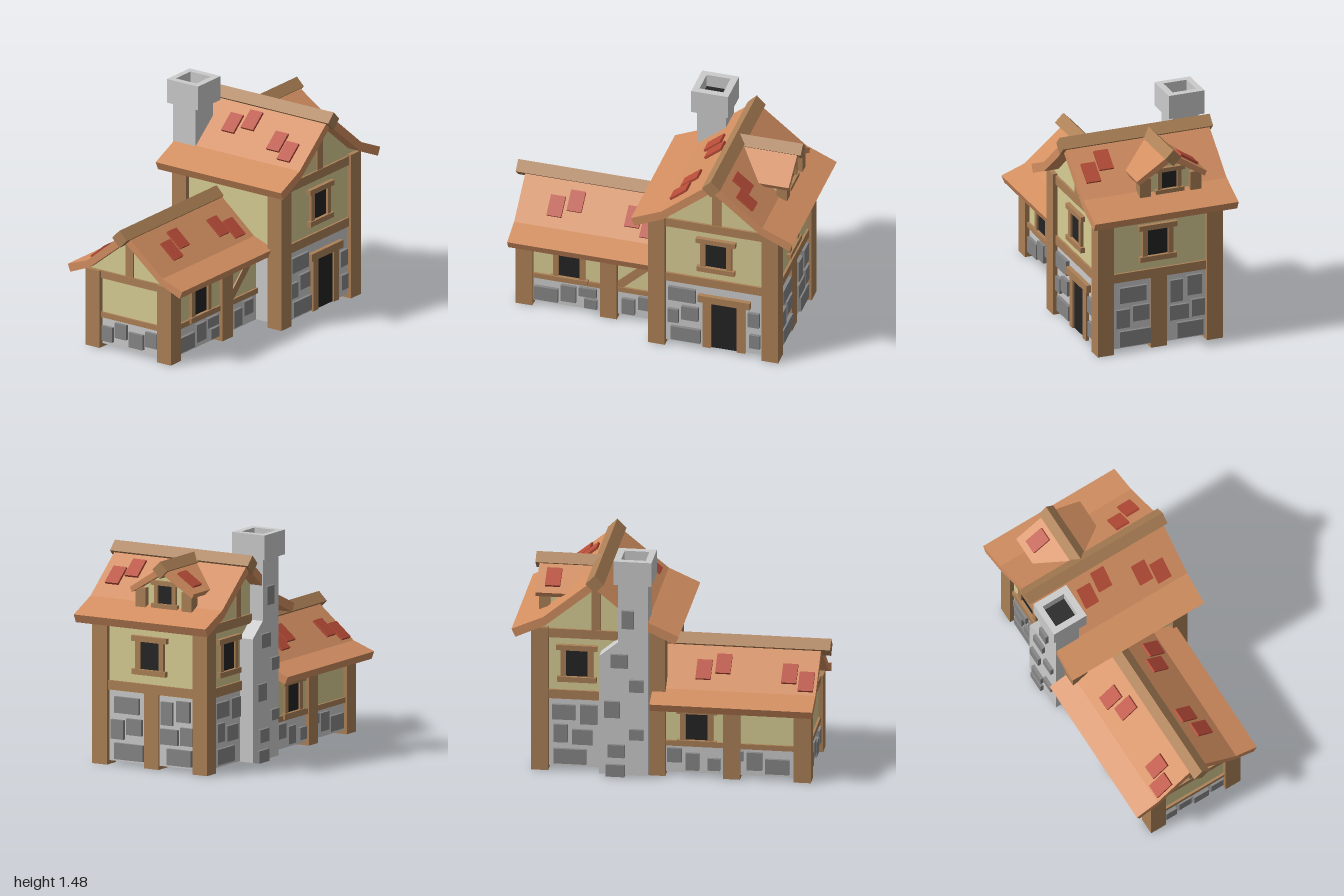
import * as THREE from 'three';

const mat = (color, side = THREE.FrontSide) => new THREE.MeshStandardMaterial({ color, side, flatShading: true });
const M = {
  roof: mat(0xd28e60), tile: mat(0xb84c38), rock: mat(0x868686), dark: mat(0x242424),
  wood: mat(0xac8056, THREE.DoubleSide), plaster: mat(0xd8cd94, THREE.DoubleSide), stone: mat(0xcccccc, THREE.DoubleSide),
};

function add(parent, name, geo, material) {
  const m = new THREE.Mesh(geo, material);
  m.name = name;
  parent.add(m);
  return m;
}

// Box given by its limits on each axis
function box(parent, name, material, x0, x1, y0, y1, z0, z1) {
  const m = add(parent, name, new THREE.BoxGeometry(x1 - x0, y1 - y0, z1 - z0), material);
  m.position.set((x0 + x1) / 2, (y0 + y1) / 2, (z0 + z1) / 2);
  return m;
}

// Leave one side of a box open (3 = bottom, 5 = back)
function openSide({ geometry }, side) {
  geometry.setIndex([...geometry.index.array].filter((_, i) => Math.floor(i / 6) !== side));
}
const post = (parent, name, x, z, top) =>
  openSide(box(parent, name, M.wood, x, x + 0.11, 0, top, z, z + 0.11), 3);

const shapeOf = (pts) => new THREE.Shape(pts.map(([x, y]) => new THREE.Vector2(x, y)));
const extrude = (shape, depth) => new THREE.ExtrudeGeometry(shape, { depth, bevelEnabled: false });

// Wall frame: local x runs along the wall, local z points outwards
function face(parent, name, x, z, angle) {
  const g = new THREE.Group();
  g.name = name;
  g.position.set(x, 0, z);
  g.rotation.y = angle;
  parent.add(g);
  return g;
}
const panel = (f, name, material, pts) => add(f, name, new THREE.ShapeGeometry(shapeOf(pts)), material);
const rect = (a, b, c, d) => [[a, c], [b, c], [b, d], [a, d]];
const beam = (f, a, b, c, d, out = 0.015) => box(f, 'beam', M.wood, a, b, c, d, -0.03, out);

// Stones set through the wall, open on the inside
const stones = (f, list) => list.forEach(([a, b, c, d]) =>
  openSide(box(f, 'stone', M.rock, a, b, c, d, -0.12, 0.022), 5));

// Window: pane, jambs, lintel and sill; (u, y) is the middle of the sill line
function windowAt(f, u, y, w = 0.14, h = 0.18, j = 0.035) {
  const a = u - w / 2, b = u + w / 2;
  box(f, 'windowPane', M.dark, a, b, y, y + h, -0.01, 0.006);
  box(f, 'windowJamb', M.wood, a - j, a, y, y + h, -0.01, 0.02);
  box(f, 'windowJamb', M.wood, b, b + j, y, y + h, -0.01, 0.02);
  box(f, 'windowLintel', M.wood, a - j * 1.75, b + j * 1.75, y + h, y + h + j, -0.01, 0.029);
  box(f, 'windowSill', M.wood, a - j * 1.6, b + j * 1.6, y - j, y, -0.01, 0.029);
}

// Gabled roof along local z; top and under list one slope from ridge to eave
function roof(parent, name, { top, under, v0, v1, ridge, ridgeY, r0, r1, tiles }) {
  const g = new THREE.Group();
  g.name = name;
  parent.add(g);
  const flip = ([x, y]) => [-x, y];
  const pts = [...top, ...[...under].reverse(), ...under.slice(1).map(flip),
    ...top.slice(1).reverse().map(flip)];
  add(g, 'roofSlopes', extrude(shapeOf(pts.reverse()), v1 - v0), M.roof).position.z = v0;
  const r = box(g, 'ridgeBeam', M.wood, -ridge, ridge, -ridge, ridge, r0, r1);
  r.position.y = ridgeY;
  r.rotation.z = Math.PI / 4;
  const angle = Math.atan2(top[0][1] - top[1][1], top[1][0]);
  for (const [u, v] of tiles) {
    const t = add(g, 'roofTile', new THREE.BoxGeometry(0.14, 0.026, 0.097), M.tile);
    t.position.set(u, top[0][1] - Math.abs(u) * Math.tan(angle) + 0.003, v);
    t.rotation.z = -Math.sign(u) * angle;
  }
  return g;
}

function mainHouse(root) {
  const g = new THREE.Group();
  g.name = 'mainHouse';
  root.add(g);
  for (const x of [0.02, 0.772]) for (const z of [0.34, -0.41]) post(g, 'cornerPost', x, z, 0.97);

  // Gable walls, front and back
  const gable = [[-0.4, 0.48], [0.4, 0.48], [0.4, 0.97], [0.32, 1.01], [0, 1.28], [-0.32, 1.01], [-0.4, 0.97]];
  const front = face(g, 'frontWall', 0, 0.42, 0);
  const back = face(g, 'backWall', 0, -0.38, Math.PI);
  for (const [f, c] of [[front, 0.467], [back, -0.467]]) {
    panel(f, 'stoneWall', M.stone, rect(c - 0.4, c + 0.4, 0.025, 0.48));
    panel(f, 'plasterWall', M.plaster, gable.map(([x, y]) => [x + c, y]));
    beam(f, c - 0.34, c + 0.34, 0.485, 0.545);
    beam(f, c - 0.34, c + 0.34, 0.9, 0.96);
    beam(f, c - 0.03, c + 0.03, 0.96, 1.26, 0.01);
  }
  windowAt(front, 0.465, 0.64);
  windowAt(back, -0.59, 0.64);
  stones(front, [[0.15, 0.33, 0.345, 0.445], [0.237, 0.347, 0.21, 0.31], [0.145, 0.215, 0.175, 0.275],
    [0.165, 0.362, 0.045, 0.145], [0.677, 0.752, 0.235, 0.34], [0.687, 0.757, 0.075, 0.175]]);
  stones(back, [[-0.75, -0.6, 0.345, 0.445], [-0.57, -0.46, 0.32, 0.45], [-0.74, -0.65, 0.19, 0.31],
    [-0.62, -0.49, 0.18, 0.28], [-0.74, -0.53, 0.045, 0.145]]);

  // Door
  box(front, 'door', M.dark, 0.433, 0.603, 0.025, 0.37, -0.01, 0.006);
  for (const x of [0.378, 0.603]) box(front, 'doorJamb', M.wood, x, x + 0.055, 0.025, 0.37, -0.01, 0.02);
  box(front, 'doorLintel', M.wood, 0.348, 0.693, 0.37, 0.42, -0.01, 0.03);

  // Eave walls; local x is -z on the left wall of the model and z on the other
  const left = face(g, 'leftWall', 0.85, 0, Math.PI / 2);
  const right = face(g, 'rightWall', 0.05, 0, -Math.PI / 2);
  for (const [f, c] of [[left, -0.02], [right, 0.02]]) {
    panel(f, 'stoneWall', M.stone, rect(c - 0.4, c + 0.4, 0.025, 0.48));
    panel(f, 'plasterWall', M.plaster, rect(c - 0.4, c + 0.4, 0.48, 0.97));
    beam(f, c - 0.32, c + 0.32, 0.485, 0.545);
    beam(f, c - 0.32, c + 0.32, 0.9, 0.96);
  }
  post(g, 'middlePost', 0.752, -0.035, 0.49);
  windowAt(left, -0.031, 0.64);
  stones(left, [[-0.293, -0.11, 0.34, 0.445], [-0.318, -0.225, 0.17, 0.295], [-0.203, -0.09, 0.205, 0.31],
    [-0.293, -0.08, 0.04, 0.145], [0.055, 0.14, 0.295, 0.445], [0.17, 0.27, 0.325, 0.46],
    [0.05, 0.18, 0.17, 0.27], [0.2, 0.29, 0.175, 0.29], [0.1, 0.28, 0.04, 0.145]]);

  roof(g, 'mainRoof', {
    top: [[0, 1.338], [0.335, 1.063], [0.537, 0.974]], under: [[0, 1.27], [0.32, 1.008], [0.512, 0.92]],
    v0: -0.47, v1: 0.515, ridge: 0.042, ridgeY: 1.31, r0: -0.49, r1: 0.54,
    tiles: [[0.138, 0.297], [0.196, 0.408], [-0.17, -0.13], [-0.13, -0.005], [-0.21, 0.253], [-0.25, 0.365]],
  }).position.x = 0.462;
}

function sideWing(root) {
  const g = new THREE.Group();
  g.name = 'sideWing';
  root.add(g);
  for (const [x, z] of [[-0.915, 0.15], [-0.915, -0.41], [-0.355, 0.15], [-0.46, -0.41]])
    post(g, 'wingPost', x, z, 0.52);

  const front = face(g, 'wingFrontWall', 0, 0.23, 0);
  const back = face(g, 'wingBackWall', 0, -0.385, Math.PI);
  for (const [f, a, b] of [[front, -0.885, 0.05], [back, -0.05, 0.885]]) {
    panel(f, 'stoneWall', M.stone, rect(a, b, 0.025, 0.21));
    panel(f, 'plasterWall', M.plaster, rect(a, b, 0.21, 0.53));
    beam(f, a, b, 0.205, 0.24);
  }
  windowAt(front, -0.565, 0.25);
  windowAt(back, 0.18, 0.25);
  const brace = add(front, 'brace', new THREE.BoxGeometry(0.4, 0.055, 0.03), M.wood);
  brace.position.set(-0.115, 0.365, -0.004);
  brace.rotation.z = Math.atan2(0.25, 0.265);
  const row = [[-0.795, -0.64, 0.045, 0.145], [-0.62, -0.52, 0.065, 0.185], [-0.5, -0.385, 0.125, 0.19],
    [-0.465, -0.38, 0.04, 0.11], [-0.215, -0.13, 0.045, 0.16], [-0.105, -0.01, 0.095, 0.19]];
  stones(front, row);
  stones(back, row.map(([a, b, c, d]) => [-b - 0.02, -a - 0.02, c, d]));
  stones(back, [[0.25, 0.33, 0.05, 0.13]]);

  // Gable end
  const end = face(g, 'wingEndWall', -0.885, 0, -Math.PI / 2);
  panel(end, 'stoneWall', M.stone, rect(-0.385, 0.23, 0.025, 0.21));
  panel(end, 'plasterWall', M.plaster,
    [[-0.385, 0.21], [0.23, 0.21], [0.23, 0.53], [0.195, 0.545], [-0.08, 0.77], [-0.355, 0.545], [-0.385, 0.53]]);
  beam(end, -0.32, 0.15, 0.205, 0.24);
  beam(end, -0.36, 0.19, 0.47, 0.52);
  beam(end, -0.11, -0.05, 0.52, 0.76, 0.01);
  stones(end, [[-0.29, -0.21, 0.05, 0.15], [-0.19, -0.1, 0.09, 0.19], [-0.08, 0.03, 0.05, 0.15], [0.05, 0.14, 0.08, 0.18]]);

  const r = roof(g, 'wingRoof', {
    top: [[0, 0.833], [0.295, 0.585], [0.45, 0.528]], under: [[0, 0.765], [0.28, 0.54], [0.43, 0.478]],
    v0: -0.94, v1: 0.105, ridge: 0.041, ridgeY: 0.807, r0: -1, r1: 0.1,
    tiles: [[-0.185, -0.692], [-0.145, -0.57], [-0.175, -0.18], [-0.217, -0.067],
      [0.225, -0.872], [0.185, -0.76], [0.148, -0.332], [0.185, -0.21]],
  });
  r.position.z = -0.082;
  r.rotation.y = Math.PI / 2;
}

function dormer(root) {
  const g = face(root, 'dormer', 0, -0.064, Math.PI / 2);
  const body = shapeOf([[-0.18, 1.03], [0.18, 1.03], [0.18, 1.16], [0, 1.275], [-0.18, 1.16]]);
  add(g, 'dormerWalls', extrude(body, 0.215), M.plaster).position.z = 0.6;
  for (const x of [-0.21, 0.135]) box(g, 'dormerPost', M.wood, x, x + 0.075, 1.04, 1.165, 0.78, 0.85);
  const f = new THREE.Group();
  f.name = 'dormerWindow';
  f.position.z = 0.815;
  g.add(f);
  windowAt(f, -0.001, 1.07, 0.105, 0.12, 0.028);
  roof(g, 'dormerRoof', {
    top: [[0, 1.322], [0.24, 1.165]], under: [[0, 1.272], [0.225, 1.135]],
    v0: 0.5, v1: 0.87, ridge: 0.039, ridgeY: 1.3, r0: 0.475, r1: 0.895, tiles: [[0.14, 0.765]],
  });
}

function chimney(root) {
  const g = new THREE.Group();
  g.name = 'chimney';
  root.add(g);
  const base = shapeOf([[0.122, 0.02], [0.435, 0.02], [0.435, 0.82], [0.314, 0.92], [0.122, 0.92]]);
  add(g, 'chimneyBase', extrude(base, 0.095), M.stone).position.z = -0.475;
  box(g, 'chimneyShaft', M.stone, 0.122, 0.314, 0.85, 1.39, -0.475, -0.3);
  box(g, 'flue', M.dark, 0.13, 0.3, 1.38, 1.395, -0.468, -0.302);
  // Hollow cap, laid flat so that depth becomes height
  const cap = shapeOf(rect(0.095, 0.34, 0.26, 0.505));
  cap.holes.push(shapeOf(rect(0.137, 0.295, 0.305, 0.465)));
  const c = add(g, 'chimneyCap', extrude(cap, 0.16), M.stone);
  c.rotation.x = -Math.PI / 2;
  c.position.y = 1.32;
  stones(face(g, 'chimneyStones', 0, -0.475, Math.PI), [
    [-0.29, -0.21, 1.02, 1.14], [-0.36, -0.25, 0.75, 0.84], [-0.24, -0.15, 0.59, 0.67], [-0.4, -0.3, 0.41, 0.52],
    [-0.24, -0.15, 0.265, 0.335], [-0.38, -0.27, 0.14, 0.225], [-0.39, -0.27, 0.01, 0.09]]);
}

export function createModel() {
  const root = new THREE.Group();
  root.name = 'cottage';
  [mainHouse, sideWing, dormer, chimney].forEach((build) => build(root));
  return root;
}
